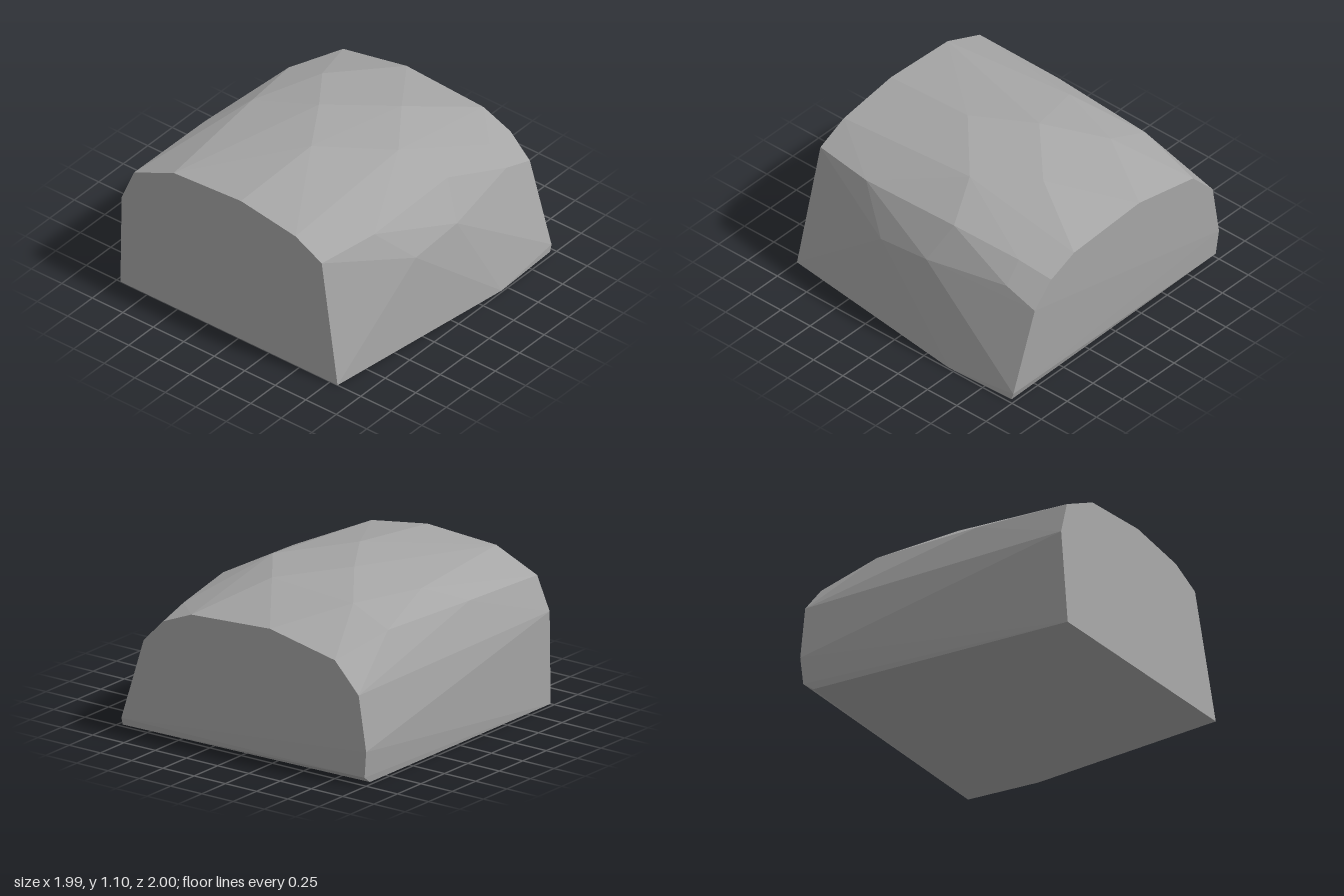
import * as THREE from 'three';
import { ConvexGeometry } from 'three/addons/geometries/ConvexGeometry.js';

export function createModel() {
  const group = new THREE.Group();
  const stoneGrey = new THREE.MeshStandardMaterial({ color: 0xa6a6a6 });
  stoneGrey.name = 'stoneGrey';

  // Corner points of the boulder, grouped by region
  const base = [
    [-0.97, 0, 1], [0.81, 0, 1], [0.99, 0, -0.45], [0.97, 0, -0.97], [-0.97, 0, -0.92],
  ];
  const frontRim = [
    [-0.99, 0.64, 0.963], [-0.9, 0.87, 0.95], [-0.58, 1.01, 0.942], [-0.03, 1.04, 0.94],
    [0.42, 0.97, 0.944], [0.64, 0.86, 0.95],
  ];
  const backRim = [
    [0.97, 0.05, -0.985], [0.78, 0.62, -1], [0.62, 0.78, -1], [0.4, 0.87, -1], [-0.23, 0.905, -1],
    [-0.75, 0.8, -1], [-0.94, 0.6, -1], [-1, 0.23, -1], [-0.98, 0.05, -0.99],
  ];
  const crown = [
    [0, 1.1, 0.26], [-0.25, 1.09, -0.13], [0.41, 1.04, -0.12], [0.13, 1.04, -0.5],
    [-0.52, 1.0, -0.5], [-0.69, 1.0, 0], [-0.82, 0.89, -0.53], [-0.88, 0.885, 0.26],
  ];
  const rightShoulder = [
    [0.71, 0.865, 0.5], [0.71, 0.885, -0.25], [0.65, 0.83, -0.75],
    [0.85, 0.6, 0.25], [0.865, 0.65, -0.15], [0.78, 0.7, -0.76],
  ];

  const points = [...base, ...frontRim, ...backRim, ...crown, ...rightShoulder]
    .map((p) => new THREE.Vector3(...p));

  // Faceted solid spanning all the corners
  const boulder = new THREE.Mesh(new ConvexGeometry(points), stoneGrey);
  boulder.name = 'boulder';
  group.add(boulder);
  return group;
}
